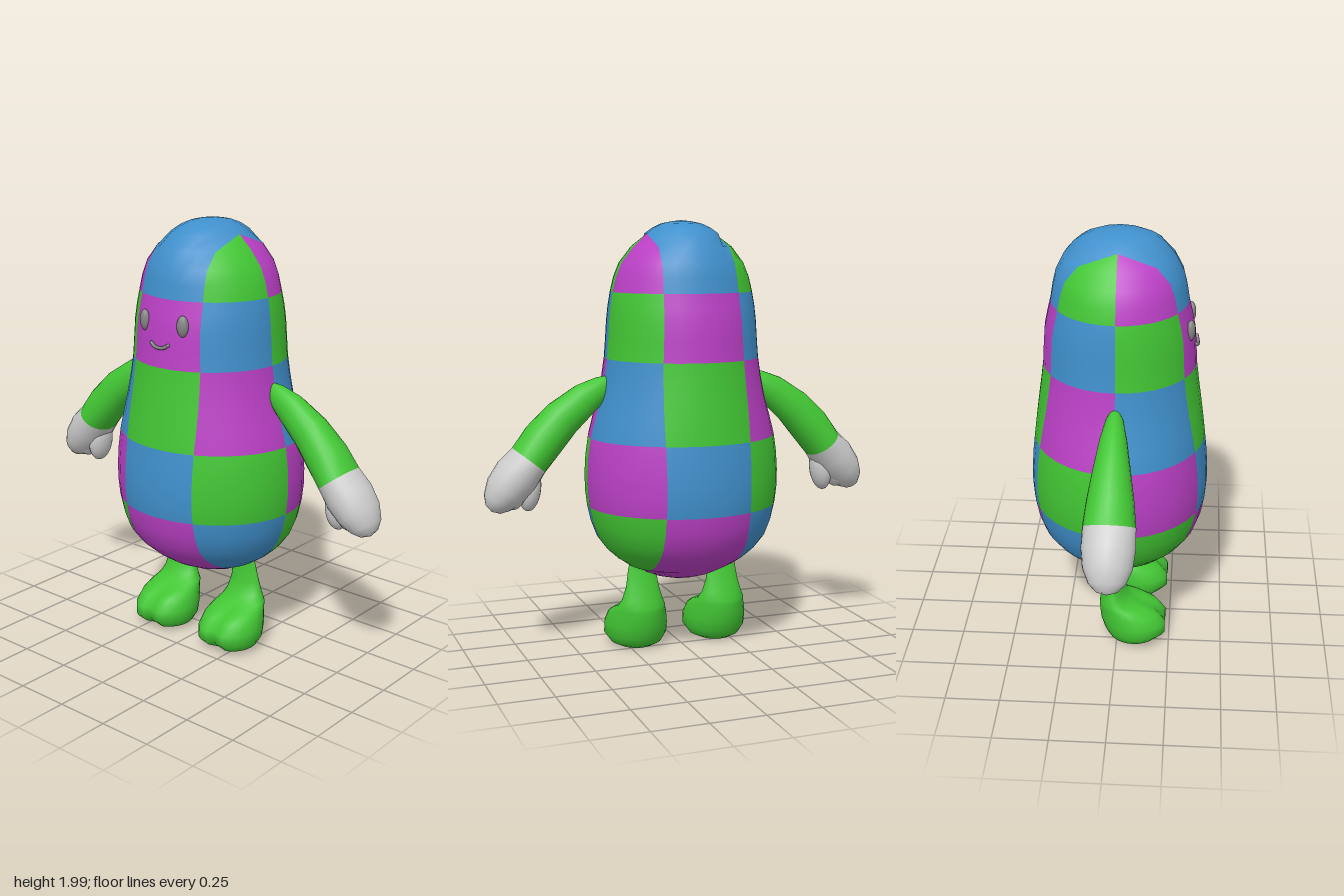
import * as THREE from 'three';
import { mergeVertices } from 'three/addons/utils/BufferGeometryUtils.js';

const GREEN = 0x42c634, BLUE = 0x4090cc, PURPLE = 0xbb40c6, GREY = 0xcccccc, DARK = 0x858585;
const V = (x, y, z) => new THREE.Vector3(x, y, z);

function mesh(name, geometry, color) {
  const m = new THREE.Mesh(geometry, new THREE.MeshStandardMaterial({ color }));
  m.name = name;
  return m;
}

// Smooth skin over closed rings; point(i, j) gives column j of ring i
function loft(ringCount, cols, point) {
  const pos = [], index = [];
  for (let i = 0; i < ringCount; i++) {
    for (let j = 0; j < cols; j++) pos.push(...point(i, j).toArray());
  }
  for (let i = 0; i < ringCount - 1; i++) {
    for (let j = 0; j < cols; j++) {
      const k = (j + 1) % cols;
      const a = i * cols + j, b = a + cols, c = i * cols + k, d = c + cols;
      index.push(a, b, c, b, d, c);
    }
  }
  const g = new THREE.BufferGeometry();
  g.setAttribute('position', new THREE.Float32BufferAttribute(pos, 3));
  g.setIndex(index);
  const merged = mergeVertices(g, 1e-4);
  merged.computeVertexNormals();
  return merged;
}

// Body: oval rings (half width, height, half depth), split into three colours of patches
function createBody() {
  const group = new THREE.Group();
  group.name = 'body';
  const profile = [
    [0, 2, 0], [0.09, 1.985, 0.11], [0.165, 1.94, 0.2], [0.285, 1.81, 0.282], [0.328, 1.68, 0.308],
    [0.345, 1.55, 0.337], [0.357, 1.38, 0.348], [0.388, 1.2, 0.372], [0.438, 1.02, 0.395],
    [0.455, 0.85, 0.41], [0.445, 0.7, 0.405], [0.4, 0.55, 0.365], [0.31, 0.45, 0.275],
    [0.2, 0.385, 0.175], [0.1, 0.35, 0.09], [0, 0.342, 0],
  ];
  const curve = new THREE.CatmullRomCurve3(profile.map((p) => V(...p)));
  const steps = (profile.length - 1) * 2;
  const rings = Array.from({ length: steps + 1 }, (_, i) => curve.getPoint(i / steps));
  const per = 6, cols = per * 6, PI = Math.PI;

  const skin = loft(rings.length, cols, (i, j) => {
    const r = rings[i];
    const edge = Math.min(0.2, 0.165 + (1.94 - r.y) * 0.045); // half width of the middle strip
    const t = r.x <= edge + 1e-4 ? PI / 2 : Math.asin(edge / r.x);
    const bounds = [-t, t, PI / 2, PI - t, PI + t, PI * 1.5, PI * 2 - t];
    const p = Math.floor(j / per);
    const a = THREE.MathUtils.lerp(bounds[p], bounds[p + 1], (j % per) / per);
    return V(r.x * Math.sin(a), r.y, r.z * Math.cos(a));
  });

  const shifts = [0, 2, 1, 0, 2]; // colour shift of each row of patches
  const lists = [[], [], []];
  const index = skin.index.array;
  for (let i = 0; i < steps; i++) {
    const y = (rings[i].y + rings[i + 1].y) / 2;
    const row = [1.68, 1.38, 1.02, 0.7].filter((h) => y < h).length;
    for (let j = 0; j < cols; j++) {
      const k = (i * cols + j) * 6;
      lists[(Math.floor(j / per) + shifts[row]) % 3].push(...index.slice(k, k + 6));
    }
  }
  [['bluePatches', BLUE], ['greenPatches', GREEN], ['purplePatches', PURPLE]].forEach(([name, color], n) => {
    const g = skin.clone();
    g.setIndex(lists[n]);
    group.add(mesh(name, g, color));
  });
  return group;
}

function ellipsoid(name, color, [x, y, z], [rx, ry, rz], tilt = 0) {
  const m = mesh(name, new THREE.SphereGeometry(1, 20, 14), color);
  m.position.set(x, y, z);
  m.scale.set(rx, ry, rz);
  m.rotation.z = tilt;
  return m;
}

// Arm: oval sections (x, y, half width, half depth) from shoulder to fingertips
function createArm(side) {
  const group = new THREE.Group();
  group.name = side > 0 ? 'leftArm' : 'rightArm';
  const s = [
    [0.33, 1.29, 0.02, 0.015], [0.38, 1.255, 0.052, 0.04], [0.46, 1.205, 0.074, 0.06],
    [0.57, 1.12, 0.088, 0.082], [0.66, 1.025, 0.095, 0.102], [0.728, 0.938, 0.09, 0.114],
    [0.785, 0.87, 0.103, 0.116], [0.838, 0.805, 0.094, 0.106], [0.875, 0.755, 0.068, 0.08],
    [0.893, 0.725, 0.038, 0.045], [0.9, 0.715, 0, 0],
  ];
  const cols = 20, wrist = 5;
  const point = (i, j) => {
    const [x, y, w, d] = s[i];
    const p = s[Math.max(i - 1, 0)], n = s[Math.min(i + 1, s.length - 1)];
    const t = new THREE.Vector2((n[0] - p[0]) * side, n[1] - p[1]).normalize();
    const a = (j / cols) * Math.PI * 2;
    return V(x * side - t.y * w * Math.sin(a), y + t.x * w * Math.sin(a), d * Math.cos(a));
  };
  group.add(
    mesh('sleeve', loft(wrist + 1, cols, point), GREEN),
    mesh('hand', loft(s.length - wrist, cols, (i, j) => point(i + wrist, j)), GREY),
    ellipsoid('thumb', GREY, [0.725 * side, 0.81, 0], [0.05, 0.105, 0.068], 0.12 * side),
    ellipsoid('finger', GREY, [0.79 * side, 0.79, 0], [0.045, 0.075, 0.075], 0.3 * side),
  );
  return group;
}

// Leg and foot: level sections (height, half width, front z, back z), with a groove between the toes
function createLeg(side) {
  const s = [
    [0.46, 0.05, 0, -0.02], [0.4, 0.066, 0.004, -0.025], [0.31, 0.08, 0.014, -0.052],
    [0.25, 0.098, 0.038, -0.07], [0.215, 0.115, 0.075, -0.082], [0.195, 0.124, 0.145, -0.085],
    [0.165, 0.138, 0.208, -0.084], [0.115, 0.148, 0.248, -0.078], [0.065, 0.148, 0.248, -0.062],
    [0.025, 0.12, 0.205, -0.04], [0.008, 0.08, 0.15, -0.01], [0.008, 0, 0.08, 0.08],
  ];
  const cols = 28;
  const g = loft(s.length, cols, (i, j) => {
    const [y, w, front, back] = s[i];
    const a = (j / cols) * Math.PI * 2;
    const x = w * Math.sin(a);
    let z = (front + back) / 2 + ((front - back) / 2) * Math.cos(a);
    if (y < 0.2 && w > 0 && Math.cos(a) > 0) z -= 0.035 * Math.exp(-((x / 0.035) ** 2));
    return V(0.2 * side + x, y, z);
  });
  return mesh(side > 0 ? 'leftLeg' : 'rightLeg', g, GREEN);
}

// Face: two oval eyes and a small smile
function createFace() {
  const face = new THREE.Group();
  face.name = 'face';
  for (const side of [1, -1]) {
    const eye = ellipsoid(side > 0 ? 'leftEye' : 'rightEye', DARK, [0.11 * side, 1.575, 0.317], [0.027, 0.048, 0.02]);
    eye.rotation.y = 0.3 * side;
    face.add(eye);
  }
  const smile = new THREE.CatmullRomCurve3([
    V(-0.048, 1.486, 0.344), V(-0.027, 1.474, 0.348), V(0, 1.47, 0.35), V(0.027, 1.474, 0.348), V(0.048, 1.486, 0.344),
  ]);
  face.add(mesh('mouth', new THREE.TubeGeometry(smile, 16, 0.008, 8), DARK));
  for (const x of [-0.048, 0.048]) {
    face.add(ellipsoid('mouthCorner', DARK, [x, 1.486, 0.344], [0.008, 0.008, 0.008]));
  }
  return face;
}

export function createModel() {
  const model = new THREE.Group();
  model.name = 'beanFigure';
  model.add(createBody(), createFace());
  for (const side of [1, -1]) model.add(createArm(side), createLeg(side));
  return model;
}
